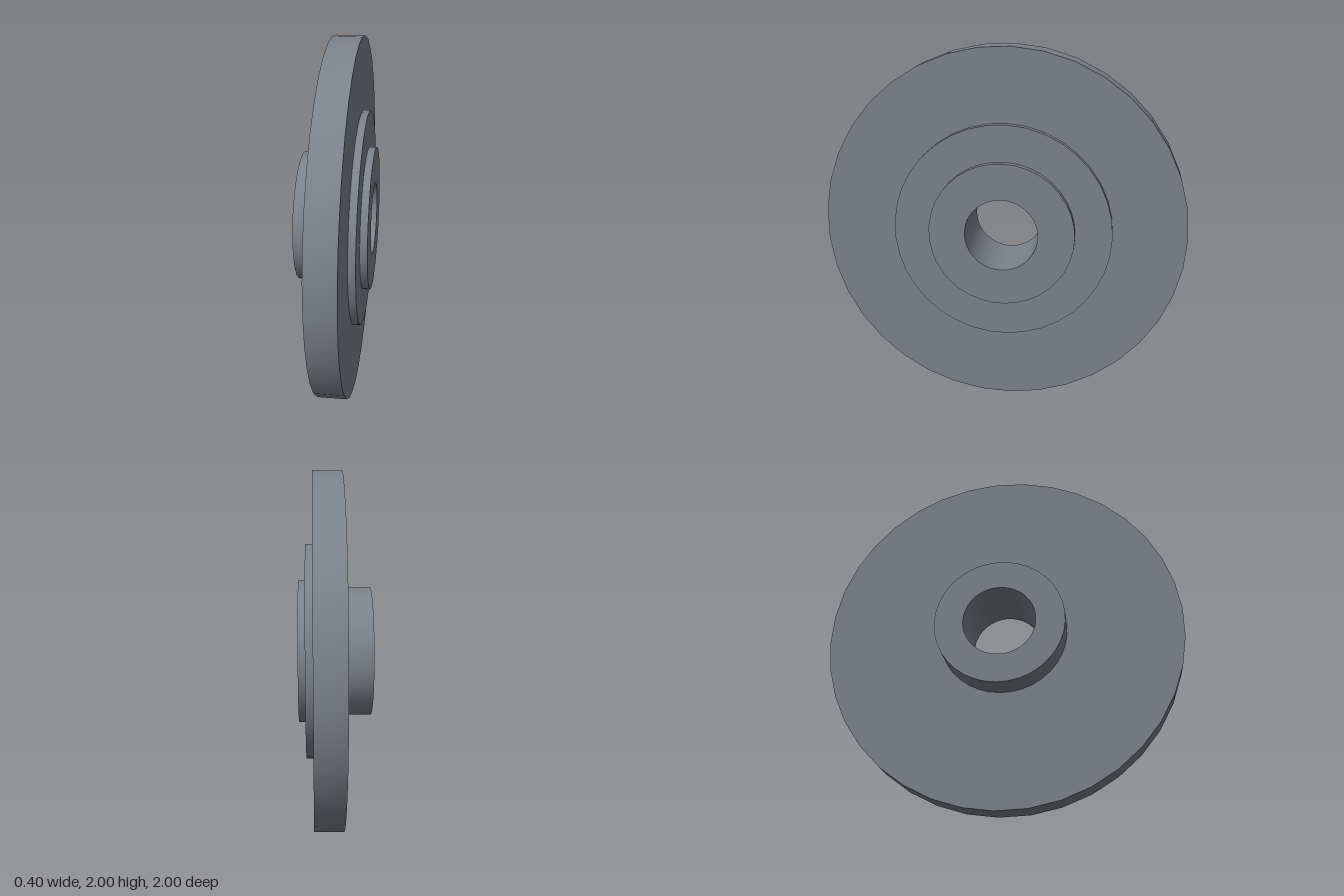
import * as THREE from 'three';
import { toCreasedNormals } from 'three/addons/utils/BufferGeometryUtils.js';

export function createModel() {
  const group = new THREE.Group();
  group.name = 'flangedDisc';

  // Closed half-section as [radius, position along the x axis]
  const section = [
    [0.2, -0.2], [0.36, -0.2],   // hub end face
    [0.36, -0.04], [1, -0.04],   // hub wall, disc back
    [1, 0.12], [0.6, 0.12],      // disc rim, disc face
    [0.6, 0.16], [0.4, 0.16],    // wide step
    [0.4, 0.2], [0.2, 0.2],      // narrow step
    [0.2, -0.2],                 // bore
  ].map(([r, x]) => new THREE.Vector2(r, x));

  // One turned body in blue-grey steel, laid over so that its axis runs along x
  const lathe = new THREE.LatheGeometry(section, 37, Math.PI);
  lathe.rotateZ(-Math.PI / 2);
  const body = new THREE.Mesh(
    toCreasedNormals(lathe, Math.PI / 6),
    new THREE.MeshStandardMaterial({ color: 0x7c828a })
  );
  body.name = 'steppedDiscWithHubAndBore';
  body.position.y = 1;
  group.add(body);

  return group;
}
